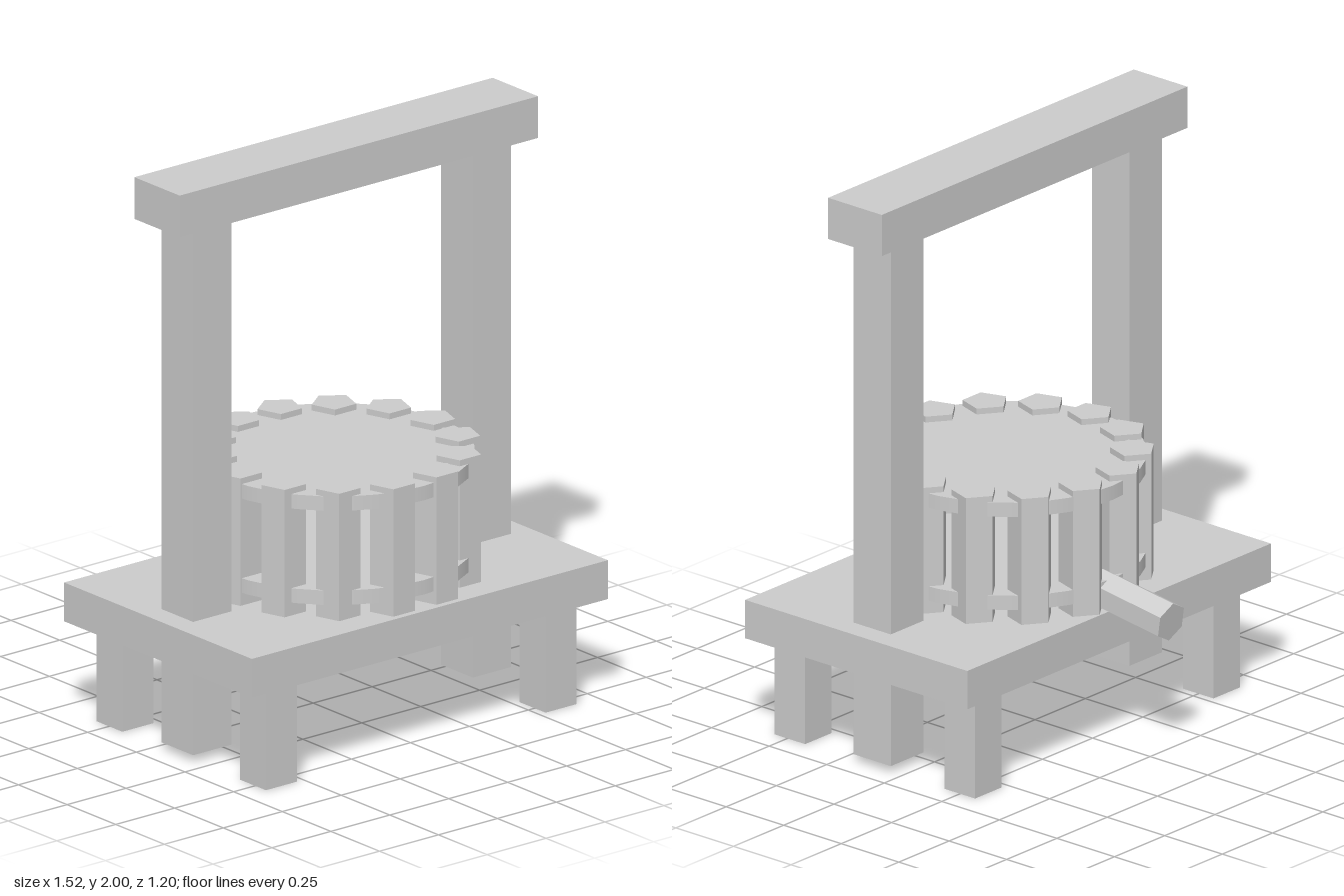
import * as THREE from 'three';

export function createModel() {
  const model = new THREE.Group();
  const grey = new THREE.MeshStandardMaterial({ color: 0xcccccc });
  grey.name = 'plain grey';

  const add = (name, geometry, x, y, z) => {
    const mesh = new THREE.Mesh(geometry, grey);
    mesh.name = name;
    mesh.position.set(x, y, z);
    model.add(mesh);
    return mesh;
  };
  // Box given by its lower and upper limits on each axis
  const box = (name, x0, x1, y0, y1, z0, z1) =>
    add(name, new THREE.BoxGeometry(x1 - x0, y1 - y0, z1 - z0),
      (x0 + x1) / 2, (y0 + y1) / 2, (z0 + z1) / 2);
  // Faceted prism with crisp sides
  const prism = (radius, height, sides) => {
    const g = new THREE.CylinderGeometry(radius, radius, height, sides).toNonIndexed();
    g.computeVertexNormals();
    return g;
  };

  // Frame: platform, top beam, posts and legs
  box('platform', -0.755, 0.755, 0.355, 0.49, -0.365, 0.6);
  box('topBeam', -0.76, 0.76, 1.855, 2, 0.002, 0.235);
  for (const [side, s] of [['left', 1], ['right', -1]]) {
    const c = s * 0.593;
    box(side + 'Post', c - 0.081, c + 0.081, 0.027, 1.86, 0.038, 0.2);
    box(side + 'FrontLeg', c - 0.066, c + 0.066, 0, 0.36, 0.423, 0.556);
    box(side + 'BackLeg', c - 0.066, c + 0.066, 0, 0.36, -0.315, -0.182);
  }

  // Basket: two discs holding a ring of pentagonal staves
  const cz = 0.116;
  for (const [name, y] of [['lowerDisc', 0.56], ['upperDisc', 0.887]]) {
    add(name, new THREE.CylinderGeometry(0.456, 0.456, 0.05, 32), 0, y, cz);
  }
  const staves = 14, staveGeometry = prism(0.077, 0.445, 5).rotateY(Math.PI);
  for (let i = 0; i < staves; i++) {
    const a = (i / staves) * Math.PI * 2;
    add('stave' + (i + 1), staveGeometry, 0.41 * Math.cos(a), 0.71, cz + 0.41 * Math.sin(a));
  }

  // Hexagonal spout sloping down at the back, with one ridge on top
  const spout = add('spout', prism(0.068, 0.31, 6), 0, 0.518, -0.437);
  spout.rotation.x = -Math.PI / 2 - 0.14;
  return model;
}
